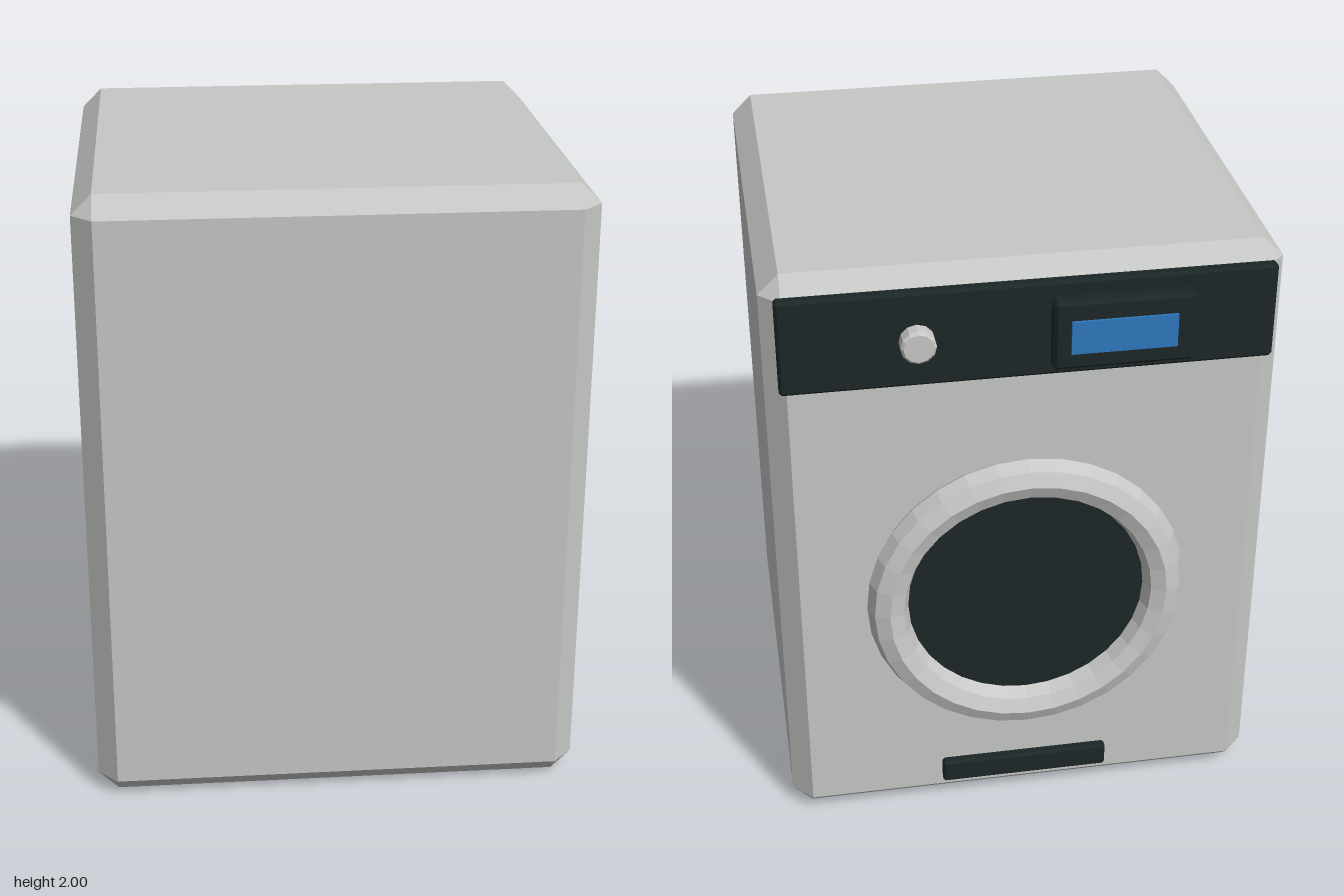
import * as THREE from 'three';
import { ConvexGeometry } from 'three/addons/geometries/ConvexGeometry.js';

const mat = (name, color) => {
  const m = new THREE.MeshStandardMaterial({ color, flatShading: true });
  m.name = name;
  return m;
};

// Box with every edge cut at 45 degrees, given by its limits
function chamferBox([x0, x1], [y0, y1], [z0, z1], c) {
  const h = [(x1 - x0) / 2, (y1 - y0) / 2, (z1 - z0) / 2];
  const points = [];
  for (const sx of [-1, 1]) for (const sy of [-1, 1]) for (const sz of [-1, 1])
    for (let axis = 0; axis < 3; axis++) {
      const d = h.map((v, i) => (i === axis ? v : v - c));
      points.push(new THREE.Vector3(sx * d[0], sy * d[1], sz * d[2]));
    }
  return new ConvexGeometry(points).translate((x0 + x1) / 2, (y0 + y1) / 2, (z0 + z1) / 2);
}

export function createModel() {
  const group = new THREE.Group();
  group.name = 'washingMachine';
  const enamel = mat('grey enamel', 0xc6c8c5);
  const metal = mat('light metal', 0xc8c8c6);
  const dark = mat('dark plastic', 0x1c2627);
  const blue = mat('blue screen', 0x2f78bd);

  const add = (name, geometry, material) => {
    const mesh = new THREE.Mesh(geometry, material);
    mesh.name = name;
    group.add(mesh);
    return mesh;
  };

  // Cabinet; the door side looks towards -z
  add('cabinet', chamferBox([-0.775, 0.775], [0, 2], [-0.685, 0.775], 0.063), enamel);

  // Control panel with display and knob
  add('controlPanel', chamferBox([-0.735, 0.735], [1.65, 1.957], [-0.72, -0.68], 0.009), dark);
  add('displayFrame', chamferBox([-0.48, -0.06], [1.692, 1.912], [-0.771, -0.715], 0.01), dark);
  add('displayScreen', new THREE.BoxGeometry(0.315, 0.106, 0.009).translate(-0.268, 1.8, -0.7745), blue);

  const knobProfile = [[0, 0], [0.053, 0], [0.053, 0.045], [0.045, 0.053], [0, 0.053]]
    .map(([r, y]) => new THREE.Vector2(r, y));
  const knob = add('knob', new THREE.LatheGeometry(knobProfile, 12), metal);
  knob.rotation.x = -Math.PI / 2;
  knob.position.set(0.332, 1.802, -0.717);

  // Round door: octagonal-section ring and dark glass
  const ring = add('doorRing', new THREE.TorusGeometry(0.441, 0.065, 8, 32), metal);
  ring.position.set(0, 0.845, -0.703);
  const glass = add('doorGlass', new THREE.CylinderGeometry(0.38, 0.38, 0.03, 48), dark);
  glass.rotation.x = Math.PI / 2;
  glass.position.set(0, 0.845, -0.69);

  // Filter cover near the floor
  add('filterCover', chamferBox([-0.275, 0.275], [0.094, 0.178], [-0.716, -0.68], 0.008), dark);

  return group;
}
